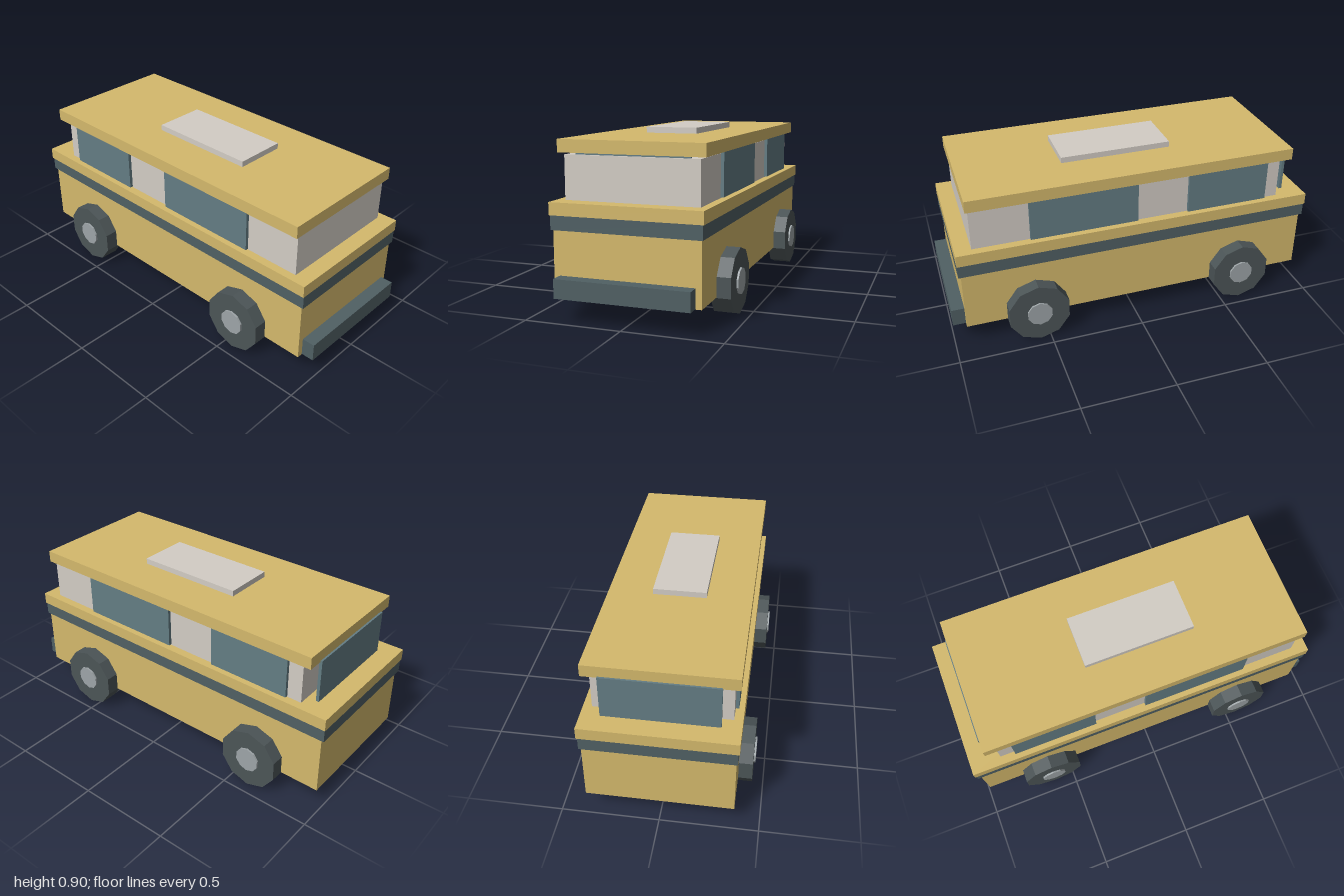
import * as THREE from 'three';

const material = (color) => new THREE.MeshStandardMaterial({ color, flatShading: true });

export function createModel() {
  const van = new THREE.Group();
  van.name = 'van';
  const paint = material(0xd4b96c);
  const trim = material(0x506064);
  const glass = material(0x647d84);
  const panel = material(0xd3cdc5);
  const rubber = material(0x4c5557);
  const metal = material(0x9ea5a8);

  // Box given by its extents on each axis
  const box = (name, mat, [x0, x1], [y0, y1], [z0, z1]) => {
    const mesh = new THREE.Mesh(new THREE.BoxGeometry(x1 - x0, y1 - y0, z1 - z0), mat);
    mesh.position.set((x0 + x1) / 2, (y0 + y1) / 2, (z0 + z1) / 2);
    mesh.name = name;
    van.add(mesh);
  };

  // Lower body, dark band and ledge
  box('lowerBody', paint, [-0.98, 0.932], [0.119, 0.445], [-0.373, 0.373]);
  box('sideBand', trim, [-0.996, 0.945], [0.44, 0.511], [-0.381, 0.381]);
  box('ledge', paint, [-1, 0.947], [0.511, 0.574], [-0.387, 0.387]);
  box('bumper', trim, [0.93, 1], [0.122, 0.218], [-0.343, 0.343]);

  // Cabin, roof and roof hatch
  box('cabin', panel, [-0.835, 0.861], [0.57, 0.793], [-0.343, 0.343]);
  box('roof', paint, [-0.89, 0.876], [0.803, 0.867], [-0.373, 0.373]);
  box('roofHatch', panel, [-0.267, 0.333], [0.866, 0.898], [-0.139, 0.139]);

  // End windows
  box('endWindow', glass, [-0.9, -0.884], [0.578, 0.81], [-0.29, 0.29]);
  box('innerWindow', glass, [0.83, 0.846], [0.578, 0.81], [-0.29, 0.29]);

  // Side windows and wheels, mirrored across z
  const addDisc = (parent, name, mat, radius, width, z) => {
    const geometry = new THREE.CylinderGeometry(radius, radius, width, 10).rotateX(Math.PI / 2);
    const mesh = new THREE.Mesh(geometry, mat);
    mesh.name = name;
    mesh.position.z = z;
    parent.add(mesh);
  };
  for (const side of [1, -1]) {
    const depth = side > 0 ? [0.342, 0.36] : [-0.36, -0.342];
    for (const span of [[-0.756, -0.3], [-0.016, 0.561]]) {
      box('sideWindow', glass, span, [0.578, 0.808], depth);
    }
    for (const x of [-0.607, 0.555]) {
      const wheel = new THREE.Group();
      wheel.name = 'wheel';
      wheel.position.set(x, 0.168, 0);
      addDisc(wheel, 'tyre', rubber, 0.168, 0.103, side * 0.393);
      addDisc(wheel, 'hub', metal, 0.068, 0.116, side * 0.396);
      van.add(wheel);
    }
  }
  return van;
}
